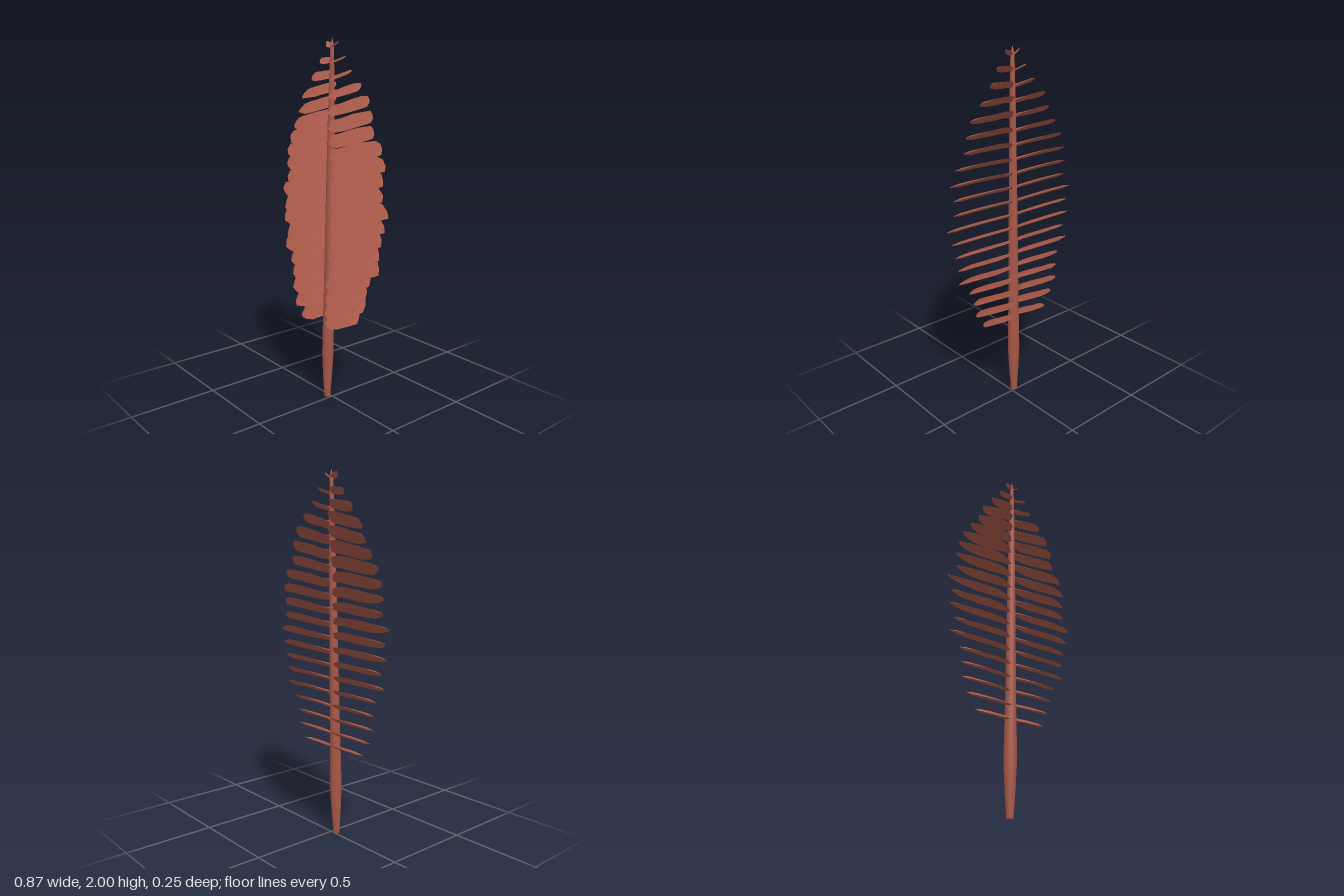
import * as THREE from 'three';
import { toCreasedNormals } from 'three/addons/utils/BufferGeometryUtils.js';

// Tip reach of each leaflet from the bottom pair to the top pair
const REACH_LEFT = [0.21, 0.255, 0.27, 0.30, 0.37, 0.37, 0.385, 0.41, 0.435, 0.39,
  0.39, 0.405, 0.375, 0.315, 0.30, 0.27, 0.205, 0.14, 0.10, 0.045];
const REACH_RIGHT = [0.23, 0.29, 0.325, 0.33, 0.345, 0.41, 0.385, 0.42, 0.41, 0.435,
  0.385, 0.39, 0.38, 0.35, 0.295, 0.24, 0.215, 0.15, 0.09, 0.045];

// Leaflet outline: [fraction of length, fraction of half width]
const OUTLINE = [[0, 0.08], [0.1, 0.28], [0.24, 0.72], [0.4, 0.95], [0.56, 1],
  [0.72, 0.8], [0.88, 0.42], [1, 0.02]];
const TILT = 0.42; // rise of the blade towards the back

let seed = 7;
function random() {
  seed = (seed * 16807) % 2147483647;
  return seed / 2147483647;
}

// Offset of the slightly leaning stem at height y
const stemX = (y) => -0.026 * (1 - y / 2);
const stemZ = (y) => 0.016 * (1 - y / 2);

// Thin lens-shaped blade with a ridge above and below; side is +1 or -1
function leafletGeometry(side, y, reach, rise) {
  const positions = [];
  const indices = [];
  const halfWidth = Math.min(0.116, 0.45 * reach);
  const thick = Math.min(0.009, reach * 0.06);
  const startX = side * stemX(y);
  OUTLINE.forEach(([t, w], i) => {
    const x = side * (startX + (reach - startX) * t);
    const back = halfWidth * w * (0.92 + 0.16 * random());
    const front = halfWidth * w * (0.92 + 0.16 * random());
    const midZ = stemZ(y) * (1 - t);
    const midY = y + rise * (t * t - 0.3) + 0.006 * Math.sin(Math.PI * t);
    const h = thick * (i === OUTLINE.length - 1 ? 0.15 : 1);
    positions.push(
      x, midY + h, midZ,
      x, midY - front * TILT, midZ + front,
      x, midY - h, midZ,
      x, midY + back * TILT, midZ - back);
    if (i === 0) return;
    for (let j = 0; j < 4; j++) {
      const k = (j + 1) % 4;
      const a = (i - 1) * 4 + j, d = (i - 1) * 4 + k;
      const b = i * 4 + j, c = i * 4 + k;
      if (side > 0) indices.push(a, d, c, a, c, b);
      else indices.push(a, c, d, a, b, c);
    }
  });
  const geometry = new THREE.BufferGeometry();
  geometry.setAttribute('position', new THREE.Float32BufferAttribute(positions, 3));
  geometry.setIndex(indices);
  const flat = geometry.toNonIndexed();
  flat.computeVertexNormals();
  return flat;
}

// Tapering stalk, thickest below the first leaflets
function stemGeometry() {
  const profile = [[0, 0], [0.019, 0], [0.028, 0.13], [0.035, 0.27], [0.034, 0.4],
    [0.03, 0.6], [0.027, 0.9], [0.024, 1.2], [0.02, 1.5], [0.016, 1.75],
    [0.012, 1.9], [0.011, 1.96], [0, 2]].map(([r, y]) => new THREE.Vector2(r, y));
  const geometry = new THREE.LatheGeometry(profile, 12);
  const p = geometry.attributes.position;
  for (let i = 0; i < p.count; i++) {
    const y = p.getY(i);
    p.setXYZ(i, p.getX(i) + stemX(y), y, p.getZ(i) * 0.92 + stemZ(y));
  }
  return toCreasedNormals(geometry, 0.7);
}

export function createModel() {
  const frond = new THREE.Group();
  frond.name = 'frond';
  const russet = new THREE.MeshStandardMaterial({ color: 0xa85848 });
  russet.name = 'russet';
  const leafMaterial = russet;

  const stem = new THREE.Mesh(stemGeometry(), russet);
  stem.name = 'stem';
  frond.add(stem);

  // Paired leaflets, curling upward near the crown
  for (const [side, reaches, name] of [[1, REACH_LEFT, 'left'], [-1, REACH_RIGHT, 'right']]) {
    const row = new THREE.Group();
    row.name = name + 'Leaflets';
    reaches.forEach((reach, i) => {
      const y = 0.5 + i * 0.0768;
      const rise = i === 19 ? 0.035 : i >= 17 ? 0.025 : 0.008;
      const leaflet = new THREE.Mesh(leafletGeometry(side, y, reach, rise), leafMaterial);
      leaflet.name = name + 'Leaflet' + (i + 1);
      row.add(leaflet);
    });
    frond.add(row);
  }
  return frond;
}
